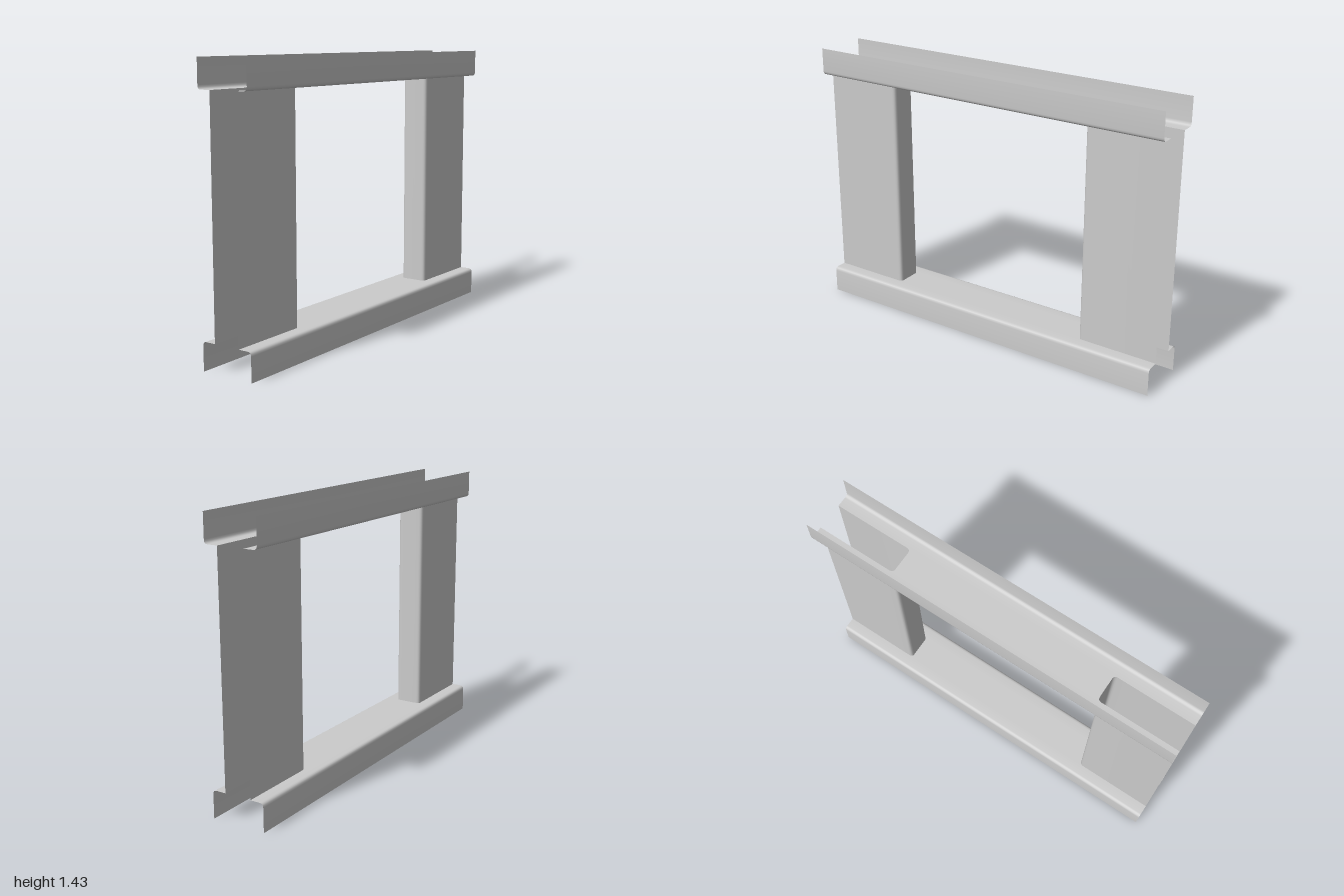
import * as THREE from 'three';

const U = 1 / 7;        // flange height and half depth of the rails
const H = U / 2;        // half depth of the jambs
const R = 0.02;         // bend radius
const OPEN = 4 * U;     // half width of the opening
const V = (x, y) => new THREE.Vector2(x, y);

const material = new THREE.MeshStandardMaterial({ color: 0xcccccc, side: THREE.DoubleSide });

// Profile polyline with every inner corner bent to radius R
function bend(points) {
  const out = [points[0]];
  for (let i = 1; i < points.length - 1; i++) {
    const p = points[i];
    const toward = (q) => p.clone().add(q.clone().sub(p).setLength(R));
    out.push(...new THREE.QuadraticBezierCurve(toward(points[i - 1]), p, toward(points[i + 1])).getPoints(4));
  }
  out.push(points[points.length - 1]);
  return out;
}

// Thin smooth sheet: a profile in xy swept along z, centred on z = 0
function sheet(profile, length) {
  const pos = [], nor = [], idx = [];
  const dir = (i) => (i < 0 || i >= profile.length - 1)
    ? V(0, 0) : profile[i + 1].clone().sub(profile[i]).normalize();
  profile.forEach((p, i) => {
    const t = dir(i - 1).add(dir(i)).normalize();
    for (const s of [-1, 1]) {
      pos.push(p.x, p.y, s * length / 2);
      nor.push(t.y, -t.x, 0);
    }
    if (i < profile.length - 1) {
      const a = 2 * i;
      idx.push(a, a + 2, a + 3, a, a + 3, a + 1);
    }
  });
  const g = new THREE.BufferGeometry();
  g.setAttribute('position', new THREE.Float32BufferAttribute(pos, 3));
  g.setAttribute('normal', new THREE.Float32BufferAttribute(nor, 3));
  g.setIndex(idx);
  return g;
}

function add(parent, name, geometry) {
  const mesh = new THREE.Mesh(geometry, material);
  mesh.name = name;
  parent.add(mesh);
  return mesh;
}

// U-shaped jamb section, open towards the outside
const jambProfile = bend([V(1, -H), V(OPEN, -H), V(OPEN, H), V(1, H)]);

// Channel rail: central web, with a ledge and a hanging lip along each side
function makeRail(name) {
  const rail = new THREE.Group();
  rail.name = name;

  const inner = jambProfile.slice(1, -1);
  const outline = [...inner, ...inner.map((p) => V(-p.x, -p.y))];
  add(rail, 'web', new THREE.ShapeGeometry(new THREE.Shape(outline)).rotateX(-Math.PI / 2));

  const flange = sheet(bend([V(H, 0), V(U, 0), V(U, -U)]).reverse(), 2).rotateY(Math.PI / 2);
  add(rail, 'backFlange', flange);
  add(rail, 'frontFlange', flange).rotation.y = Math.PI;
  return rail;
}

export function createModel() {
  const model = new THREE.Group();
  model.name = 'windowFrame';

  // Sill with lips down, head with lips up
  const sill = makeRail('sill');
  sill.position.y = U;
  const head = makeRail('head');
  head.position.y = 9 * U;
  head.rotation.x = Math.PI;
  model.add(sill, head);

  // Side jambs between the rails
  const jamb = sheet(jambProfile, 8 * U).rotateX(Math.PI / 2);
  add(model, 'leftJamb', jamb).position.y = 5 * U;
  const right = add(model, 'rightJamb', jamb);
  right.position.y = 5 * U;
  right.rotation.y = Math.PI;

  return model;
}
